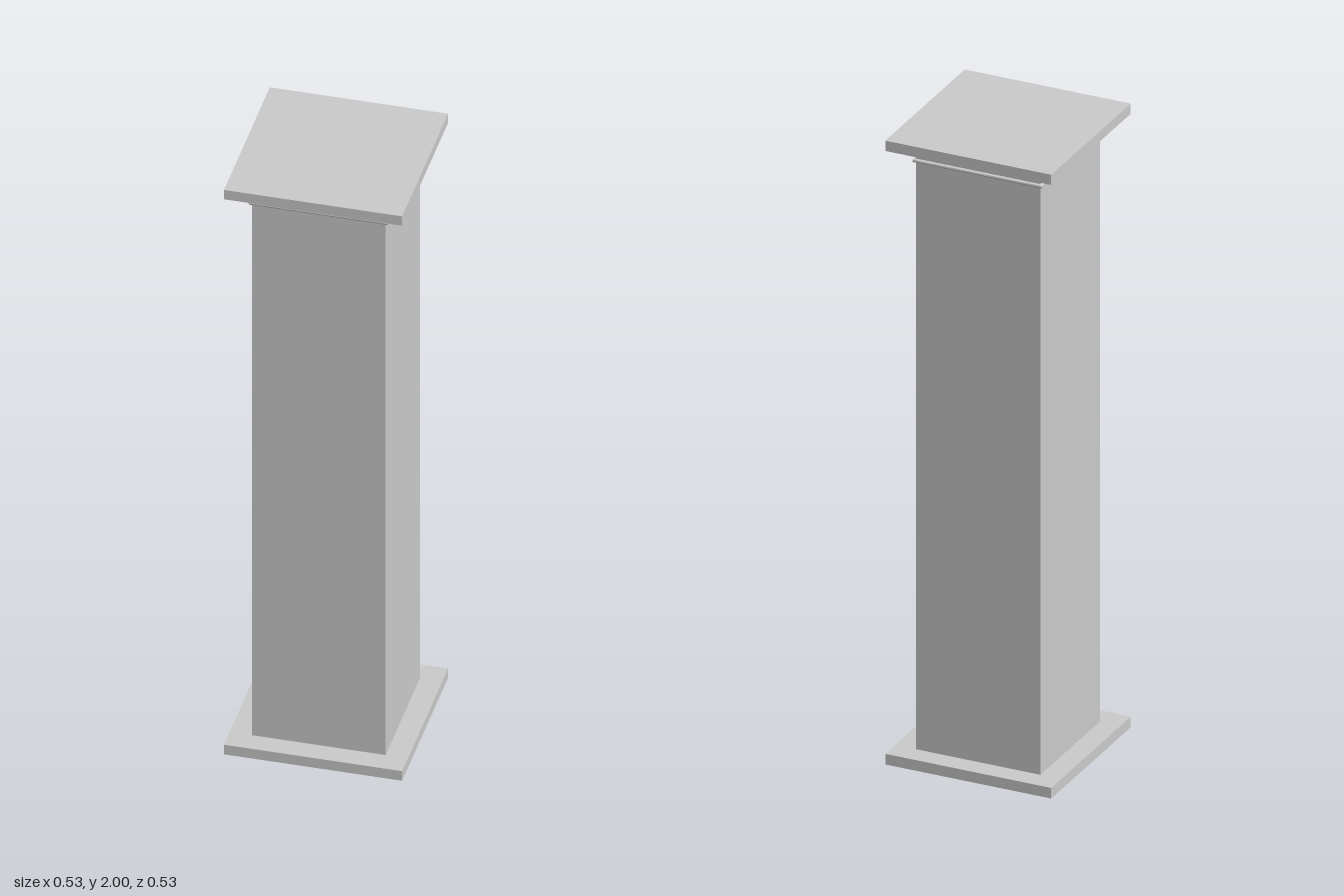
import * as THREE from 'three';

const material = new THREE.MeshStandardMaterial({ color: 0xcccccc, flatShading: true });

// Square block spanning y0..y1
function block(name, width, y0, y1) {
  const mesh = new THREE.Mesh(new THREE.BoxGeometry(width, y1 - y0, width), material);
  mesh.name = name;
  mesh.position.y = (y0 + y1) / 2;
  return mesh;
}

// Square moulding: [half width, y] profile swept around four mitred sides
function moulding(name, profile) {
  const points = profile.map(([half, y]) => new THREE.Vector2(half * Math.SQRT2, y));
  const geometry = new THREE.LatheGeometry(points, 4, Math.PI / 4).toNonIndexed();
  geometry.computeVertexNormals();
  const mesh = new THREE.Mesh(geometry, material);
  mesh.name = name;
  return mesh;
}

export function createModel() {
  const pillar = new THREE.Group();
  pillar.name = 'squarePillar';

  // Base slab, shaft and top slab
  pillar.add(block('basePlinth', 0.533, 0, 0.034));
  pillar.add(block('shaft', 0.4, 0.034, 1.967));
  pillar.add(block('topSlab', 0.533, 1.967, 2));

  // Thin band around the neck
  pillar.add(moulding('neckBand', [
    [0.2, 1.917], [0.207, 1.918], [0.208, 1.922], [0.207, 1.926], [0.2, 1.928],
  ]));

  // Flared moulding under the top slab
  pillar.add(moulding('flaredMoulding', [
    [0.2, 1.938], [0.202, 1.945], [0.205, 1.955], [0.21, 1.967],
  ]));

  return pillar;
}
